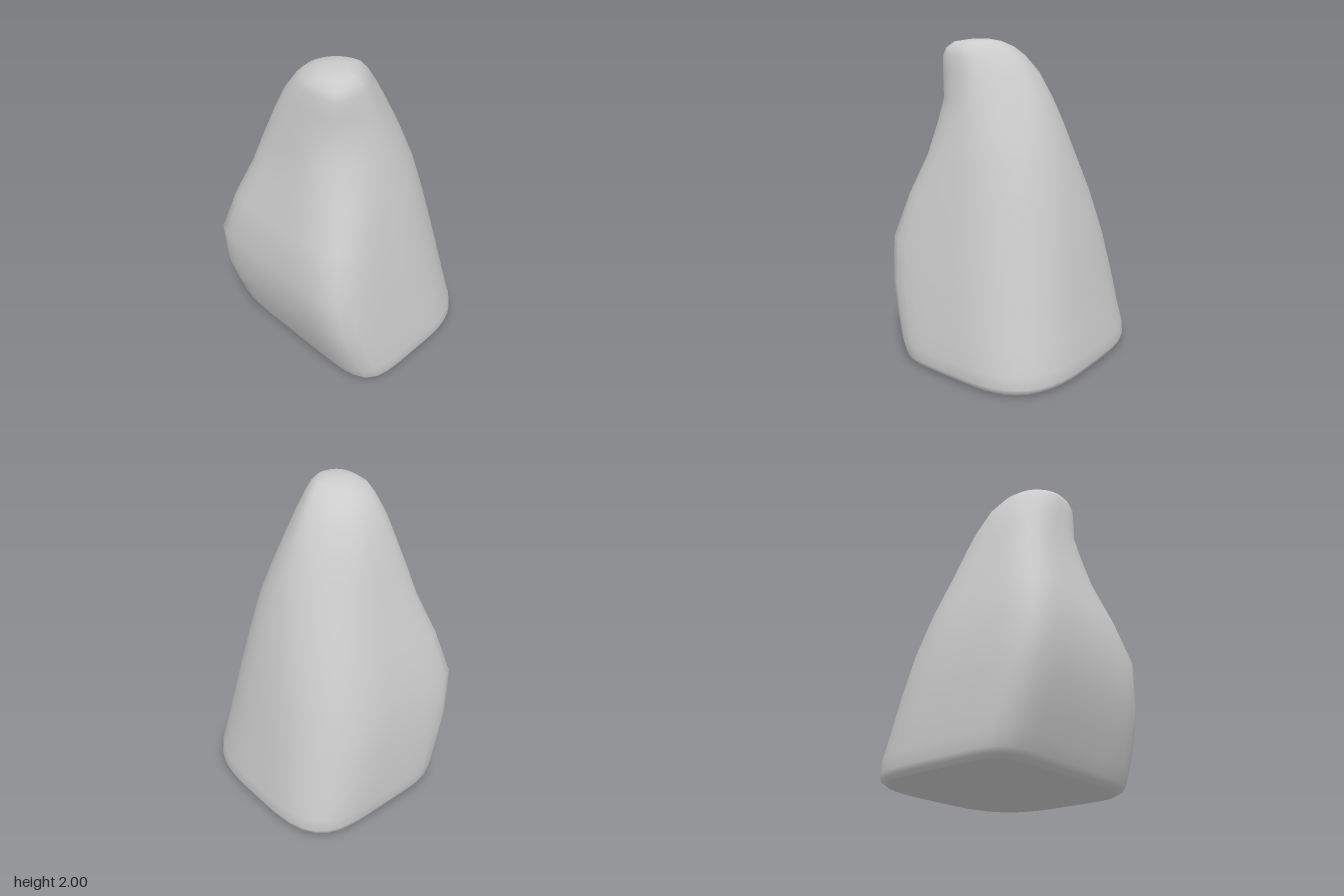
import * as THREE from 'three';

// Extents of the stone at each height: y, xMin, xMax, zMin, zMax
const LEVELS = [
  [0, -0.61, 0.61, -0.60, 0.42],
  [0.02, -0.635, 0.635, -0.625, 0.455],
  [0.05, -0.645, 0.645, -0.635, 0.475],
  [0.13, -0.65, 0.645, -0.63, 0.505],
  [0.28, -0.64, 0.62, -0.60, 0.555],
  [0.48, -0.63, 0.59, -0.565, 0.61],
  [0.76, -0.595, 0.54, -0.515, 0.635],
  [1.05, -0.515, 0.48, -0.45, 0.565],
  [1.3, -0.43, 0.425, -0.38, 0.485],
  [1.5, -0.37, 0.375, -0.31, 0.445],
  [1.65, -0.32, 0.335, -0.245, 0.415],
  [1.8, -0.255, 0.305, -0.165, 0.39],
  [1.9, -0.18, 0.285, -0.09, 0.368],
  [1.95, -0.12, 0.268, -0.035, 0.35],
  [1.985, -0.04, 0.23, 0.03, 0.30],
  [1.998, 0.03, 0.16, 0.10, 0.22],
];

// Corner squareness at each height: y, (+x+z), (-x+z), (-x-z), (+x-z)
const CORNERS = [
  [0, 6, 7, 4, 3],
  [0.4, 6.5, 8, 3.3, 2.8],
  [0.76, 6.5, 9, 2.8, 2.6],
  [1.05, 4.5, 7, 2.5, 2.4],
  [1.3, 3, 5, 2.2, 2.2],
  [1.6, 2.2, 3.3, 2, 1.8],
  [1.75, 2.4, 2.6, 2, 1.6],
  [1.88, 4, 2.1, 2, 1.4],
  [2, 3, 1.6, 2, 1.3],
];

function cornersAt(y) {
  const i = Math.max(1, CORNERS.findIndex((c) => c[0] >= y));
  const a = CORNERS[i - 1], b = CORNERS[i];
  const t = (y - a[0]) / (b[0] - a[0]);
  return [1, 2, 3, 4].map((k) => THREE.MathUtils.lerp(a[k], b[k], t));
}

// One closed cross-section with a different rounding in each quadrant
function section([y, x0, x1, z0, z1], segments) {
  const n = cornersAt(y);
  const cx = (x0 + x1) / 2, cz = (z0 + z1) / 2;
  const ring = [];
  for (let j = 0; j < segments; j++) {
    const t = (j / segments) * Math.PI * 2;
    const c = Math.cos(t), s = Math.sin(t);
    const e = n[Math.floor((j * 4) / segments)];
    const r = Math.pow(Math.abs(c) ** e + Math.abs(s) ** e, -1 / e);
    ring.push(cx + (x1 - x0) / 2 * c * r, y, cz + (z1 - z0) / 2 * s * r);
  }
  return ring;
}

function stoneGeometry(segments = 56) {
  const pos = [], index = [];
  LEVELS.forEach((level) => pos.push(...section(level, segments)));
  const rows = LEVELS.length;

  // Side skin
  for (let i = 0; i < rows - 1; i++) {
    for (let j = 0; j < segments; j++) {
      const k = (j + 1) % segments;
      const a = i * segments + j, b = i * segments + k;
      index.push(a, a + segments, b, b, a + segments, b + segments);
    }
  }

  // Rounded tip
  const tip = pos.length / 3;
  pos.push(0.1, 2, 0.16);
  const last = (rows - 1) * segments;
  for (let j = 0; j < segments; j++) index.push(last + j, tip, last + (j + 1) % segments);

  // Flat underside with its own vertices
  const base = pos.length / 3;
  pos.push(...section(LEVELS[0], segments), 0, 0, -0.09);
  for (let j = 0; j < segments; j++) index.push(base + j, base + (j + 1) % segments, base + segments);

  const geometry = new THREE.BufferGeometry();
  geometry.setAttribute('position', new THREE.Float32BufferAttribute(pos, 3));
  geometry.setIndex(index);
  geometry.computeVertexNormals();
  return geometry;
}

export function createModel() {
  const group = new THREE.Group();
  group.name = 'standingStone';
  const stone = new THREE.Mesh(stoneGeometry(), new THREE.MeshStandardMaterial({ color: 0xcccccc }));
  stone.name = 'stone';
  group.add(stone);
  return group;
}
